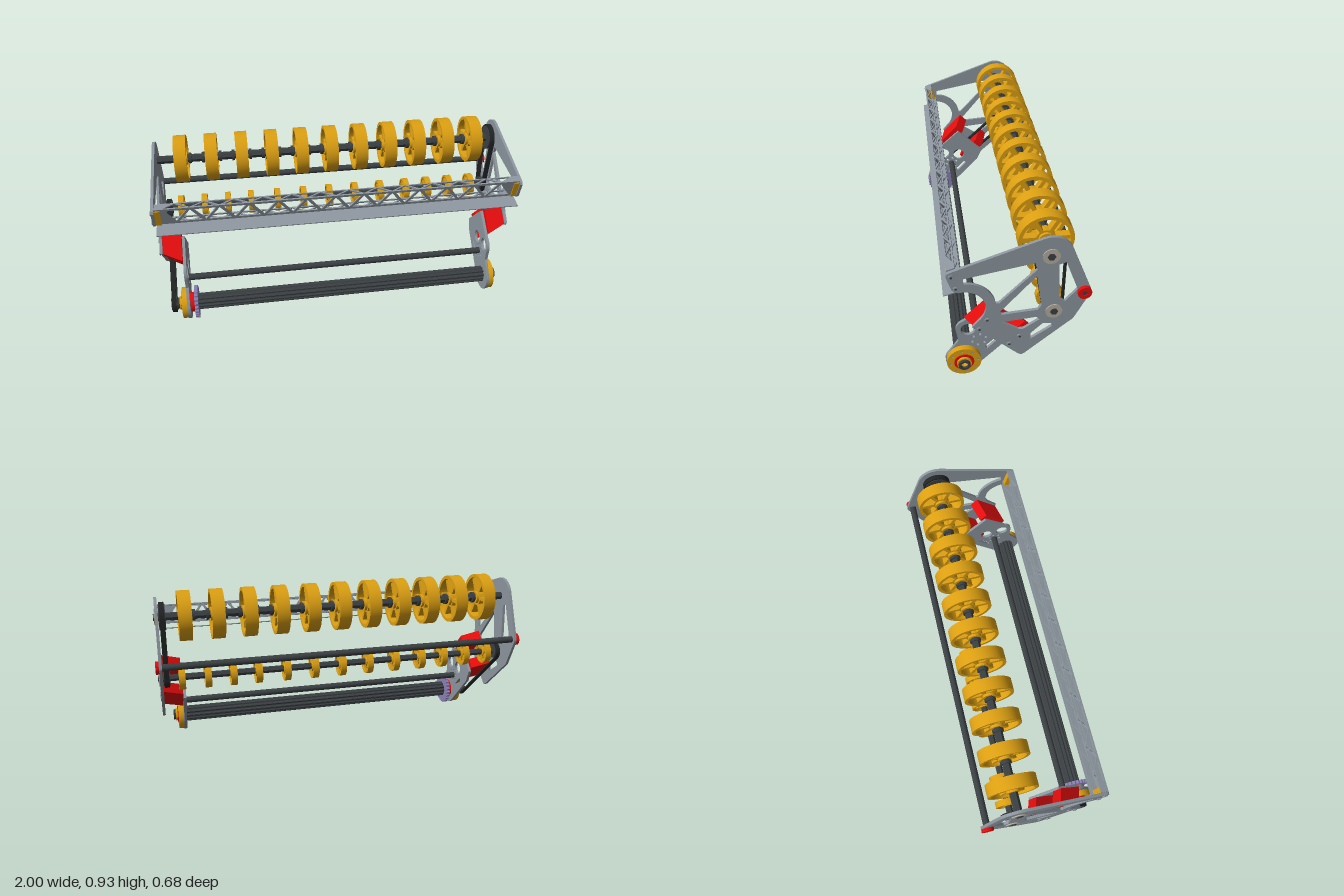
import * as THREE from 'three';
import { toCreasedNormals } from 'three/addons/utils/BufferGeometryUtils.js';

const mat = (color) => new THREE.MeshStandardMaterial({ color, side: THREE.DoubleSide });
const GREY = mat(0x8d969f), YELLOW = mat(0xdda012), RED = mat(0xe60c0c), DARK = mat(0x3b4043),
  BLACK = mat(0x222425), PURPLE = mat(0x8a80b4), BEIGE = mat(0xb4ae9e);

// Axle positions as [z, y]
const TOP = [-0.142, 0.795], MID = [-0.168, 0.47], LOW = [0.249, 0.092], REAR = [-0.305, 0.575], TIE = [0.172, 0.208];

// Arc as [z, y] points; the angle is measured from the back (-z) towards +y
function arc([z, y], r, a0, a1, n = 12) {
  return Array.from({ length: n + 1 }, (_, i) => {
    const a = THREE.MathUtils.degToRad(a0 + (a1 - a0) * i / n);
    return [z - r * Math.cos(a), y + r * Math.sin(a)];
  });
}
const circle = (c, r, n = 32) => arc(c, r, 0, 360 * (n - 1) / n, n - 1);
const toVec = (pts) => pts.map(([z, y]) => new THREE.Vector2(-z, y));

export function createModel() {
  const model = new THREE.Group();
  const add = (name, geo, m, parent = model) => {
    const mesh = new THREE.Mesh(geo, m);
    mesh.name = name;
    parent.add(mesh);
    return mesh;
  };
  // Flat part in the side plane, reaching from x0 to x1
  const slab = (name, pts, holes, x0, x1, m, parent) => {
    const s = new THREE.Shape(toVec(pts));
    s.holes = holes.map((h) => new THREE.Path(toVec(h)));
    const g = new THREE.ExtrudeGeometry(s, { depth: x1 - x0, bevelEnabled: false });
    g.rotateY(Math.PI / 2).translate(x0, 0, 0);
    return add(name, toCreasedNormals(g, 0.5), m, parent);
  };
  const disc = (name, c, r, x0, x1, m, sides = 32) => slab(name, circle(c, r, sides), [], x0, x1, m);
  const ring = (name, c, r, hole, x0, x1, m) => slab(name, circle(c, r), [circle(c, hole)], x0, x1, m);
  // Same part on both sides of the machine
  const both = (a, b, fn) => { fn(a, b, 1); fn(-b, -a, -1); };

  // Outer side plates
  const cut = [0.254, 0.523];
  const outer = [[0.327, 0.724], [0.322, 0.738], [0.31, 0.745], ...arc(TOP, 0.103, 110, 18),
    ...arc(REAR, 0.033, 18, -25, 6), [-0.27, 0.425], [-0.26, 0.408], [-0.243, 0.394],
    [-0.035, 0.209], [-0.02, 0.202], [-0.007, 0.208], [0.165, 0.371], [0.214, 0.408],
    ...arc(cut, 0.105, -48, 90, 18), [0.268, 0.627], [0.288, 0.632], [0.302, 0.645]];
  const outerHoles = [
    [[0.249, 0.705], ...arc(cut, 0.152, 88, 8), [0.09, 0.543], [-0.082, 0.724], [-0.07, 0.763]],
    [[-0.082, 0.688], [-0.109, 0.511], [-0.092, 0.484], [0.077, 0.472], [0.082, 0.494]],
    [[-0.18, 0.744], [-0.212, 0.754], [-0.273, 0.59], [-0.217, 0.523], [-0.19, 0.543]],
    [[0.077, 0.425], [-0.087, 0.44], [-0.102, 0.423], [-0.028, 0.371], [-0.004, 0.371]],
    [[-0.063, 0.339], [-0.119, 0.396], [-0.163, 0.391], [-0.163, 0.371], [-0.065, 0.303]]];
  both(0.968, 0.983, (a, b) => slab('outerPlate', outer, outerHoles, a, b, GREY));

  // Inner arm plates carrying the bottom roller
  const eye = [0.224, 0.283];
  const arm = [...arc(LOW, 0.09, 165, 312, 16), [-0.009, 0.229], [-0.04, 0.3], [0.12, 0.45], [0.237, 0.347],
    ...arc(eye, 0.06, 110, 200, 8), [0.273, 0.21]];
  const armHoles = [circle(eye, 0.037), circle([0.121, 0.273], 0.037),
    [[0.14, 0.16], [0.085, 0.215], [0.07, 0.205], [0.13, 0.14]],
    ...[0, 1, 2, 3, 4, 5].map((i) => circle(arc(TIE, 0.035, i * 60 + 20, 0, 1)[0], 0.008, 12))];
  both(0.85, 0.866, (a, b) => slab('armPlate', arm, armHoles, a, b, GREY));

  // Slanted red spacer blocks between arm and outer plate
  const U = new THREE.Vector3(0, Math.SQRT1_2, -Math.SQRT1_2), X = new THREE.Vector3(1, 0, 0);
  const basis = new THREE.Matrix4().makeBasis(U, X, U.clone().cross(X));
  for (const s of [1, -1]) for (const [z, y] of [[0.222, 0.347], [0.09, 0.235]]) {
    const shape = new THREE.Shape([[0, 0.866], [0.16, 0.866], [0.21, 0.968], [0.05, 0.968]]
      .map(([u, x]) => new THREE.Vector2(u, s * x)));
    const g = new THREE.ExtrudeGeometry(shape, { depth: 0.06, bevelEnabled: false });
    g.translate(0, 0, -0.03).applyMatrix4(basis).translate(0, y, z);
    add('spacerBlock', g, RED);
  }

  // Bolts, bearing caps and rod end caps
  both(0.983, 0.988, (a, b, s) => {
    for (const c of [[0.303, 0.72], [0.283, 0.652], [0.18, 0.393], [0.143, 0.447], [-0.011, 0.327], [0.038, 0.281]]) {
      ring('bolt', c, 0.013, 0.006, a, b, GREY);
      disc('boltSocket', c, 0.006, a, b, DARK, 6);
    }
    for (const c of [TOP, MID]) {
      disc('bearingCap', c, 0.04, a, b, BEIGE);
      disc('shaftEnd', c, 0.019, s > 0 ? a : a - 0.004, s > 0 ? b + 0.004 : b, DARK, 6);
    }
  });
  both(0.983, 1, (a, b) => ring('rodCap', REAR, 0.033, 0.012, a, b, RED));
  both(0.983, 0.997, (a, b) => disc('rodCapBolt', REAR, 0.012, a, b, DARK, 12));

  // Cross shafts and rods
  disc('topShaft', TOP, 0.022, -0.968, 0.968, DARK, 6);
  disc('middleShaft', MID, 0.018, -0.968, 0.968, DARK, 6);
  disc('rearRod', REAR, 0.018, -0.983, 0.983, DARK, 20);
  disc('lowerRod', TIE, 0.018, -0.85, 0.85, DARK, 20);

  // Spoked wheel: rim, web with openings, hub
  const wheel = (name, x, c, r, rim, hub, w, openings) => {
    const g = new THREE.Group();
    g.name = name;
    slab('rim', circle(c, r, 40), [circle(c, rim, 40)], x - w / 2, x + w / 2, YELLOW, g);
    slab('web', circle(c, rim + 0.002, 40), openings, x - w * 0.3, x + w * 0.3, YELLOW, g);
    slab('hub', circle(c, hub, 24), [], x - w / 2, x + w / 2, YELLOW, g);
    model.add(g);
  };
  const wedges = [0, 60, 120, 180, 240, 300].map((a) =>
    [...arc(TOP, 0.113, a + 5, a + 55, 8), ...arc(TOP, 0.046, a + 48, a + 12, 4)]);
  for (let i = -5; i <= 5; i++) wheel('largeWheel', i * 0.167, TOP, 0.131, 0.113, 0.036, 0.067, wedges);
  const rounds = [0, 60, 120, 180, 240, 300].map((a) => circle(arc(MID, 0.042, a, a, 1)[0], 0.011, 12));
  for (const x of [0, 0.155, 0.31, 0.465, 0.6, 0.735, 0.87]) for (const s of x ? [1, -1] : [1])
    wheel('smallWheel', s * x, MID, 0.067, 0.057, 0.028, 0.033, rounds);
  // Spacer collars on the top shaft
  for (let i = -5; i < 5; i++) {
    disc('collar', TOP, 0.03, i * 0.167 + 0.04, i * 0.167 + 0.055, DARK, 20);
    disc('collar', TOP, 0.03, i * 0.167 + 0.112, i * 0.167 + 0.127, DARK, 20);
  }

  // Grooved hollow bottom roller
  const flute = Array.from({ length: 48 }, (_, i) => arc(LOW, i % 4 < 2 ? 0.046 : 0.039, i * 7.5, 0, 1)[0]);
  slab('roller', flute, [circle(LOW, 0.018)], -0.85, 0.85, DARK);
  both(0.866, 0.895, (a, b) => {
    const studs = [10, 55, 100, 145, 190, 235, 280, 325].map((d) => arc(LOW, 0.07, d, d, 1)[0]);
    slab('endDisc', circle(LOW, 0.086, 40), [circle(LOW, 0.05), ...studs.map((c) => circle(c, 0.007, 10))], a, b, YELLOW);
    for (const c of studs) disc('discBolt', c, 0.007, a + 0.002, b - 0.002, GREY, 10);
  });
  both(0.866, 0.899, (a, b) => ring('bearingRing', LOW, 0.05, 0.037, a, b, RED));
  both(0.85, 0.91, (a, b) => ring('rollerHub', LOW, 0.037, 0.018, a, b, YELLOW));
  both(0.91, 0.922, (a, b) => ring('rollerNut', LOW, 0.03, 0.018, a, b, DARK));
  const teeth = Array.from({ length: 96 }, (_, i) => arc(LOW, i % 4 < 2 ? 0.091 : 0.084, i * 3.75, 0, 1)[0]);
  slab('toothedDisc', teeth, [circle(LOW, 0.04)], -0.826, -0.806, PURPLE);
  ring('rollerCollar', LOW, 0.055, 0.03, -0.85, -0.826, RED);

  // Belts with their pulleys
  const loop = (c1, r1, c2, r2) => {
    const dx = c1[0] - c2[0], dy = c2[1] - c1[1], R = 180 / Math.PI;
    const phi = Math.atan2(dy, dx) * R, t = Math.acos((r1 - r2) / Math.hypot(dx, dy)) * R;
    return [...arc(c1, r1, phi + t, phi + 360 - t, 24), ...arc(c2, r2, phi - t, phi + t, 24)];
  };
  const belt = (c1, r1, c2, r2, x0, x1) => {
    slab('belt', loop(c1, r1, c2, r2), [loop(c1, r1 - 0.009, c2, r2 - 0.009)], x0, x1, BLACK);
    for (const [c, r] of [[c1, r1], [c2, r2]])
      ring('pulley', c, r - 0.009, 0.018, x0 - 0.004, x1 + 0.004, DARK);
  };
  belt(MID, 0.05, TOP, 0.077, 0.935, 0.961);
  belt(LOW, 0.048, MID, 0.052, -0.951, -0.927);

  // Front lattice beam: strips with alternating triangular openings
  const beam = new THREE.Group();
  beam.name = 'frontBeam';
  beam.position.set(0, 0.7, 0.293);
  beam.rotation.x = 0.286;
  const lattice = (h, edge) => {
    const s = new THREE.Shape([[-0.966, -h], [0.966, -h], [0.966, h], [-0.966, h]].map((p) => new THREE.Vector2(...p)));
    const n = 24, step = 1.8 / n, k = h - edge;
    for (let i = 0; i < n; i++) {
      const x = -0.9 + (i + 0.5) * step, f = i % 2 ? 1 : -1;
      s.holes.push(new THREE.Path([[x - step * 0.78, -k * f], [x + step * 0.78, -k * f], [x, k * f]]
        .map((p) => new THREE.Vector2(...p))));
    }
    return new THREE.ExtrudeGeometry(s, { depth: 0.008, bevelEnabled: false });
  };
  add('latticeFace', lattice(0.054, 0.014), GREY, beam).position.z = 0.008;
  for (const y of [0.054, -0.046]) {
    const flange = add('latticeFlange', lattice(0.02, 0.006), GREY, beam);
    flange.rotation.x = Math.PI / 2;
    flange.position.set(0, y, -0.005);
  }
  for (const s of [1, -1])
    add('beamEndBlock', new THREE.BoxGeometry(0.03, 0.1, 0.042), YELLOW, beam).position.set(s * 0.952, -0.006, 0);
  model.add(beam);

  // Thin sloping lip below the beam
  const lip = add('frontLip', new THREE.BoxGeometry(1.935, 0.005, 0.094), GREY);
  lip.position.set(0, 0.615, 0.295);
  lip.rotation.x = 0.28;

  return model;
}
